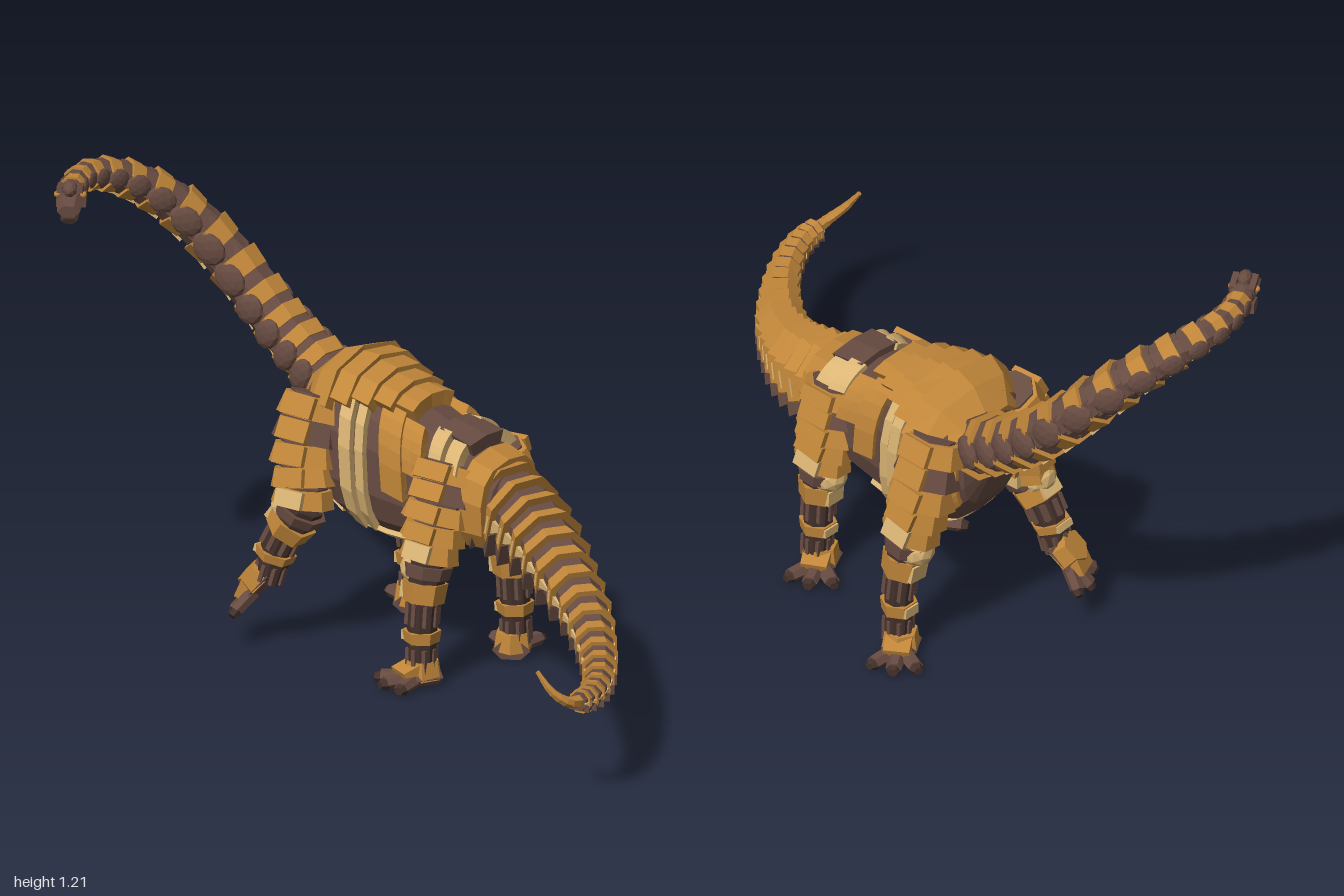
import * as THREE from 'three';

const paint = (color) => new THREE.MeshStandardMaterial({ color, flatShading: true, side: THREE.DoubleSide });
const ORANGE = paint(0xc2873a), BROWN = paint(0x684c42), TAN = paint(0xdbb575), DARK = paint(0x42302b);
const V = (a) => new THREE.Vector3(...a);

function add(parent, name, geo, mat, pos = [0, 0, 0], scale = [1, 1, 1], rot = [0, 0, 0]) {
  const m = new THREE.Mesh(geo, mat);
  m.name = name;
  m.position.set(...pos);
  m.scale.set(...scale);
  m.rotation.set(...rot);
  parent.add(m);
}

// Faceted frustum lying along +z, r0 at the back, r1 at the front
const frustum = (r0, r1, len, sides = 8) =>
  new THREE.CylinderGeometry(r1, r0, len, sides).rotateY(Math.PI / sides).rotateX(Math.PI / 2);
const gem = (r) => new THREE.IcosahedronGeometry(r, 1);

// Group at `from` whose +z points to `to`
function aim(parent, name, from, to, up = [0, 1, 0]) {
  const g = new THREE.Group();
  g.name = name;
  g.up.set(...up);
  g.position.copy(from);
  g.lookAt(to);
  parent.add(g);
  return g;
}

// Repeats a segment along a curve; each point is [x, y, z, radius]
function chain(root, name, pts, n, up, decorate) {
  const group = new THREE.Group();
  group.name = name;
  root.add(group);
  const curve = new THREE.CatmullRomCurve3(pts.map((p) => V(p.slice(0, 3))));
  const radius = (t) => {
    const f = t * (pts.length - 1), i = Math.min(Math.floor(f), pts.length - 2);
    return THREE.MathUtils.lerp(pts[i][3], pts[i + 1][3], f - i);
  };
  for (let k = 0; k < n; k++) {
    const a = curve.getPoint(k / n), b = curve.getPoint((k + 1) / n);
    const g = aim(group, name + 'Segment', a.clone().lerp(b, 0.5), b, up);
    decorate(g, a.distanceTo(b), radius((k + 0.5) / n), k);
  }
}

// Torso stations: x, centre z, bottom y, top y, half width
const TORSO = [
  [-0.38, -0.3, 0.56, 0.64, 0.03], [-0.36, -0.3, 0.47, 0.69, 0.1], [-0.31, -0.28, 0.4, 0.74, 0.165],
  [-0.2, -0.265, 0.35, 0.755, 0.185], [-0.05, -0.235, 0.33, 0.705, 0.152], [0.06, -0.22, 0.33, 0.665, 0.135],
  [0.2, -0.2, 0.36, 0.62, 0.14], [0.3, -0.18, 0.39, 0.575, 0.105], [0.33, -0.17, 0.46, 0.5, 0.02],
];

// Torso surface point; angle 0 is up, positive towards +z
function torsoPoint(x, angle, off) {
  let i = 0;
  while (i < TORSO.length - 2 && TORSO[i + 1][0] < x) i++;
  const A = TORSO[i], B = TORSO[i + 1], t = (x - A[0]) / (B[0] - A[0]);
  const [, zc, lo, hi, w] = A.map((v, k) => THREE.MathUtils.lerp(v, B[k], t));
  const box = (v) => Math.sign(v) * Math.abs(v) ** 0.75;
  return [x, (lo + hi) / 2 + ((hi - lo) / 2 + off) * box(Math.cos(angle)), zc + (w + off) * box(Math.sin(angle))];
}

// Raised shell on the torso with a skirt down to the skin; slant leans its lower edge along x
function shell(parent, name, mat, x0, x1, a0, a1, off0, off1, na = 6, slant = 0) {
  const pos = [], idx = [], row = na + 3, nx = 2;
  for (let i = -1; i <= nx + 1; i++)
    for (let j = -1; j <= na + 1; j++) {
      const u = THREE.MathUtils.clamp(i / nx, 0, 1), v = THREE.MathUtils.clamp(j / na, 0, 1);
      const rim = i < 0 || j < 0 || i > nx || j > na;
      const off = rim ? 0 : THREE.MathUtils.lerp(off0, off1, u);
      const angle = a0 + (a1 - a0) * v;
      pos.push(...torsoPoint(x0 + (x1 - x0) * u + slant * Math.abs(angle), angle, off));
    }
  for (let i = 0; i < nx + 2; i++)
    for (let j = 0; j < na + 2; j++) {
      const p = i * row + j;
      idx.push(p, p + 1, p + row, p + 1, p + row + 1, p + row);
    }
  const g = new THREE.BufferGeometry();
  g.setAttribute('position', new THREE.Float32BufferAttribute(pos, 3));
  g.setIndex(idx);
  g.computeVertexNormals();
  add(parent, name, g, mat);
}

function buildTorso(root) {
  const g = new THREE.Group();
  g.name = 'torso';
  root.add(g);
  for (let i = 0; i < TORSO.length - 1; i++)
    shell(g, 'bodyCore', BROWN, TORSO[i][0], TORSO[i + 1][0], -Math.PI, Math.PI, 0, 0, 14);
  // overlapping back armour, narrowing to the rear
  for (let k = 0; k < 5; k++)
    shell(g, 'backPlate', ORANGE, -0.35 + 0.065 * k, -0.22 + 0.06 * k, -1.1 + 0.16 * k, 1.1 - 0.16 * k, 0.012, 0.038, 4, 0.015);
  shell(g, 'rumpRidge', BROWN, 0.1, 0.21, -0.35, 0.35, 0.02, 0.035, 2);
  shell(g, 'hipBand', ORANGE, 0.22, 0.29, -2.4, 2.4, 0.01, 0.025, 10);
  for (const s of [-1, 1]) {
    const side = (name, mat, x0, x1, a, b, o0, o1, slant) =>
      shell(g, name, mat, x0, x1, Math.min(s * a, s * b), Math.max(s * a, s * b), o0, o1, 5, slant);
    side('rumpPlate', TAN, 0.085, 0.135, 0.3, 1.0, 0.015, 0.03, 0.02);
    side('rumpPlate', TAN, 0.14, 0.19, 0.35, 1.05, 0.015, 0.03, 0.02);
    side('rib', TAN, -0.19, -0.15, 0.75, 2.5, 0.012, 0.02, 0.015);
    side('rib', TAN, -0.14, -0.11, 0.75, 2.4, 0.012, 0.02, 0.015);
    side('flankPlate', ORANGE, -0.085, -0.01, 0.5, 1.65, 0.012, 0.025, 0.03);
    side('flankPlate', ORANGE, -0.03, 0.05, 0.55, 1.4, 0.015, 0.03, 0.04);
    side('chestPlate', ORANGE, -0.35, -0.29, 1.3, 2.2, 0.01, 0.02);
    side('bellyTrim', TAN, -0.14, 0.03, 2.5, 2.7, 0.012, 0.012);
  }
  for (let k = 0; k < 4; k++)
    shell(g, 'bellyPlate', k % 2 ? BROWN : TAN, -0.3 + 0.09 * k, -0.225 + 0.09 * k, 2.75, 3.53, 0.005, 0.012);
}

function neckSegment(g, len, r) {
  add(g, 'neckCore', frustum(r * 0.86, r * 0.8, len * 1.15), BROWN);
  add(g, 'neckCollar', frustum(r * 0.9, r * 0.98, len * 0.55), ORANGE, [0, 0, len * 0.1]);
  add(g, 'throatPlate', frustum(r * 0.32, r * 0.2, len * 0.7, 4), TAN, [0, -r * 0.72, 0]);
  for (const s of [-1, 1])
    add(g, 'sideDisc', gem(1), BROWN, [s * r * 0.82, 0, 0], [r * 0.22, r * 0.55, len * 0.48]);
}

function tailSegment(g, len, r) {
  add(g, 'tailCore', frustum(r * 0.9, r * 0.8, len * 1.15), BROWN);
  add(g, 'tailCollar', frustum(r * 0.9, r * 1.04, len * 0.6), ORANGE);
  for (const s of [-1, 1]) {
    add(g, 'tailSideWedge', frustum(r * 0.32, r * 0.05, len * 0.7, 4), TAN, [s * r * 0.72, -r * 0.05, len * 0.4]);
    add(g, 'tailLowerWedge', frustum(r * 0.1, r * 0.4, len * 0.85, 4), BROWN, [s * r * 0.68, -r * 0.5, 0]);
  }
}

// Upper leg gets flared armour, lower leg gets slim cuffs and joints
function legSegment(g, len, r, k) {
  add(g, 'legCore', frustum(r * 0.84, r * 0.8, len * 1.15), k < 5 ? BROWN : DARK);
  if (k < 5) {
    add(g, 'thighArmour', frustum(r * 0.88, r * 1.02, len * 0.95), k === 1 ? BROWN : ORANGE, [0, 0, 0], [1, 1.15, 1]);
    for (const s of [-1, 1])
      add(g, 'thighPanel', new THREE.BoxGeometry(r * 0.2, r * 1.1, len * 0.9), k === 4 ? TAN : ORANGE,
        [s * r * 0.93, 0, 0], [1, 1, 1], [0, s * 0.15, 0]);
  } else if (k === 5) {
    add(g, 'kneeCap', gem(r * 0.75), TAN, [0, r * 0.45, 0]);
    add(g, 'kneeBand', frustum(r * 1.05, r * 0.95, len * 0.6), BROWN);
  } else if (k % 2 === 0) {
    const slim = k === 6 ? 0.95 : 0.5;
    add(g, 'shinCuff', frustum(r * 1.04, r * 0.95, len * slim, 6), ORANGE);
    add(g, 'shinGuard', new THREE.BoxGeometry(r, r * 0.2, len * slim * 0.8), TAN, [0, r * 0.9, 0]);
  } else {
    for (let i = 0; i < 8; i++) {
      const a = (i * Math.PI) / 4;
      add(g, 'ankleRod', frustum(r * 0.16, r * 0.16, len, 4), BROWN, [Math.cos(a) * r * 0.78, Math.sin(a) * r * 0.78, 0]);
    }
  }
}

function foot(root, pos, dir) {
  const p = V(pos), g = aim(root, 'foot', p, p.clone().add(V(dir)));
  add(g, 'sole', frustum(0.05, 0.045, 0.09, 6), BROWN, [0, 0.008, 0], [1, 0.55, 1]);
  add(g, 'heelCuff', new THREE.CylinderGeometry(0.046, 0.054, 0.05, 6), ORANGE, [0, 0.028, -0.01]);
  add(g, 'instep', new THREE.BoxGeometry(0.07, 0.03, 0.06), ORANGE, [0, 0.028, 0.03], [1, 1, 1], [0.35, 0, 0]);
  for (const a of [-0.6, 0, 0.6]) {
    const toe = new THREE.Group();
    toe.name = 'toe';
    toe.rotation.y = a;
    g.add(toe);
    add(toe, 'toeBone', frustum(0.024, 0.021, 0.07, 6), BROWN, [0, 0.003, 0.065], [1, 0.85, 1]);
    add(toe, 'toeTip', frustum(0.021, 0.013, 0.02, 6), DARK, [0, 0, 0.106], [1, 0.85, 1]);
  }
}

function buildHead(root) {
  const g = aim(root, 'head', V([-0.915, 1.168, 0.055]), V([-0.855, 1.155, 0.16]));
  add(g, 'skull', gem(0.04), BROWN, [0, 0.004, 0.015], [0.9, 0.85, 1.15]);
  add(g, 'snout', frustum(0.034, 0.028, 0.075, 6), BROWN, [0, 0, 0.08], [1.05, 0.65, 1]);
  add(g, 'lowerJaw', frustum(0.028, 0.02, 0.08, 6), DARK, [0, -0.03, 0.058], [1.05, 0.45, 1], [0.15, 0, 0]);
  add(g, 'noseCrest', gem(0.02), BROWN, [0, 0.036, 0.052], [1, 1, 1.5]);
  for (const s of [-1, 1]) {
    add(g, 'brow', new THREE.BoxGeometry(0.016, 0.016, 0.06), BROWN, [s * 0.026, 0.03, 0.035], [1, 1, 1], [-0.25, 0, 0]);
    add(g, 'eye', gem(0.009), ORANGE, [s * 0.034, 0.014, 0.04]);
    add(g, 'cheek', new THREE.BoxGeometry(0.012, 0.03, 0.04), BROWN, [s * 0.033, -0.016, 0.005]);
  }
}

export function createModel() {
  const root = new THREE.Group();
  root.name = 'armouredSauropod';
  buildTorso(root);
  buildHead(root);

  chain(root, 'neck', [
    [-0.3, 0.62, -0.31, 0.105], [-0.4, 0.675, -0.335, 0.09], [-0.5, 0.735, -0.35, 0.083], [-0.6, 0.815, -0.36, 0.08],
    [-0.715, 0.93, -0.35, 0.075], [-0.82, 1.045, -0.3, 0.068], [-0.9, 1.12, -0.22, 0.058], [-0.945, 1.16, -0.13, 0.048],
    [-0.953, 1.172, -0.04, 0.041], [-0.92, 1.17, 0.045, 0.035],
  ], 14, [0, 1, 0], neckSegment);

  chain(root, 'tail', [
    [0.24, 0.49, -0.19, 0.125], [0.35, 0.462, -0.16, 0.115], [0.45, 0.425, -0.115, 0.1], [0.56, 0.38, -0.04, 0.085],
    [0.68, 0.34, 0.05, 0.07], [0.79, 0.31, 0.165, 0.057], [0.875, 0.29, 0.27, 0.048], [0.935, 0.28, 0.37, 0.041],
    [0.965, 0.277, 0.45, 0.036], [0.968, 0.28, 0.505, 0.031],
  ], 17, [0, 1, 0], tailSegment);
  chain(root, 'tailTip', [
    [0.968, 0.28, 0.495, 0.02], [0.962, 0.292, 0.55, 0.014], [0.935, 0.325, 0.583, 0.011], [0.9, 0.375, 0.595, 0.006],
  ], 8, [0, 0, 1], (g, len, r) => add(g, 'tipSpike', frustum(r * 1.08, r * 0.9, len * 1.15, 6), ORANGE));

  // legs run from shoulder or hip to ankle
  const leg = (name, pts) => chain(root, name, pts, 10, [-1, 0, 0], legSegment);
  leg('frontRightLeg', [[-0.27, 0.68, -0.4, 0.085], [-0.26, 0.52, -0.44, 0.083], [-0.23, 0.38, -0.46, 0.07],
    [-0.205, 0.22, -0.475, 0.05], [-0.2, 0.04, -0.475, 0.045]]);
  leg('frontLeftLeg', [[-0.28, 0.68, -0.14, 0.085], [-0.285, 0.53, -0.09, 0.083], [-0.275, 0.4, -0.065, 0.072],
    [-0.335, 0.3, -0.055, 0.058], [-0.37, 0.185, -0.045, 0.046]]);
  leg('hindRightLeg', [[0.17, 0.58, -0.29, 0.09], [0.175, 0.46, -0.315, 0.085], [0.195, 0.34, -0.33, 0.067],
    [0.205, 0.2, -0.333, 0.051], [0.21, 0.045, -0.335, 0.046]]);
  leg('hindLeftLeg', [[0.15, 0.58, -0.12, 0.09], [0.145, 0.46, -0.07, 0.085], [0.135, 0.34, -0.04, 0.067],
    [0.13, 0.2, -0.018, 0.051], [0.13, 0.045, -0.015, 0.046]]);
  foot(root, [-0.215, 0.021, -0.485], [-0.5, 0, -0.8]);
  foot(root, [0.2, 0.021, -0.335], [-0.4, 0, -0.8]);
  foot(root, [0.125, 0.021, -0.01], [-0.45, 0, 0.85]);
  foot(root, [-0.39, 0.165, -0.045], [-0.6, -0.7, 0.25]);
  return root;
}
